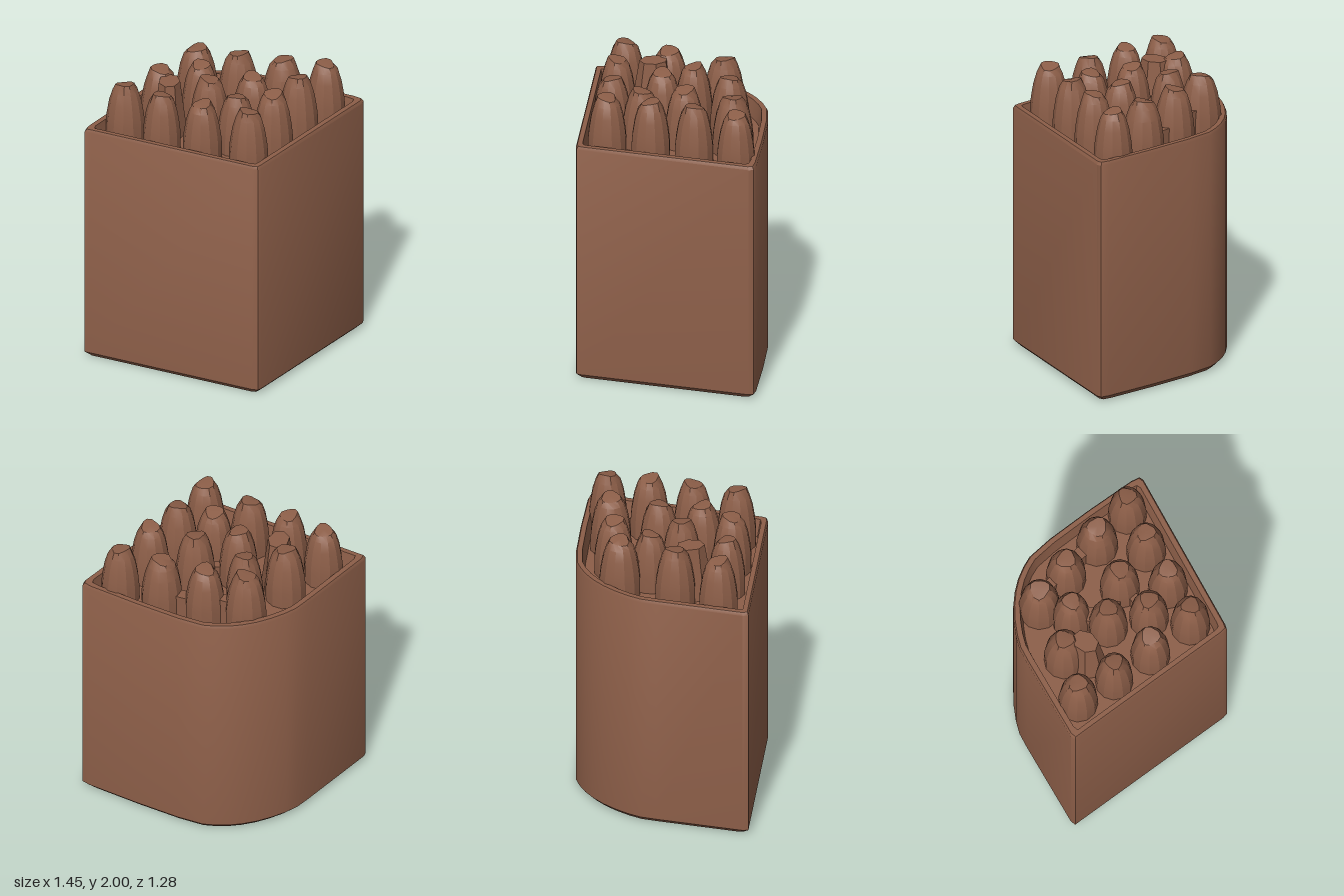
import * as THREE from 'three';
import { toCreasedNormals } from 'three/addons/utils/BufferGeometryUtils.js';

const clay = new THREE.MeshStandardMaterial({ color: 0x8c5e48 });
clay.name = 'clay brown';

// Plan outline of the case (x, z), counter-clockwise from above
const outline = [
  [-0.46, 0.64], [0.69, 0.625], [0.72, 0.61], [0.72, 0.55], [0.665, 0.2], [0.605, -0.115],
  [0.555, -0.29], [0.51, -0.36], [0.45, -0.43], [0.38, -0.49], [0.295, -0.545], [0.2, -0.59],
  [0.1, -0.625], [0.01, -0.645], [-0.1, -0.645], [-0.69, -0.625], [-0.725, -0.61],
  [-0.715, -0.56], [-0.505, 0.6], [-0.49, 0.635],
];

// Case: bottom chamfer, outer wall, rim, inner wall and floor as rings of the outline
function caseGeometry() {
  const rings = [[0, 0.035], [0.035, 0], [1.67, 0], [1.69, 0.01], [1.69, 0.045], [1.57, 0.065]];
  const n = outline.length;
  const point = (r, i) => {
    const [x, z] = outline[i % n];
    const [y, inset] = rings[r];
    return [x * (1 - inset / 0.65), y, z * (1 - inset / 0.62)];
  };
  const v = [];
  const tri = (...corners) => corners.forEach((c) => v.push(...c));
  const last = rings.length - 1;
  for (let i = 0; i < n; i++) {
    tri([0, rings[0][0], 0], point(0, i + 1), point(0, i));
    for (let r = 0; r < last; r++) {
      tri(point(r, i), point(r, i + 1), point(r + 1, i + 1));
      tri(point(r, i), point(r + 1, i + 1), point(r + 1, i));
    }
    tri([0, rings[last][0], 0], point(last, i), point(last, i + 1));
  }
  const g = new THREE.BufferGeometry();
  g.setAttribute('position', new THREE.Float32BufferAttribute(v, 3));
  return toCreasedNormals(g, 0.6);
}

// Tapered peg with a small, slanted, roughly cut tip
function pegGeometry(radius, top, seed) {
  const height = top - 1.57;
  const profile = [[1, 0], [1, 0.29], [0.95, 0.45], [0.83, 0.68], [0.66, 0.86], [0.46, 0.97], [0, 0.98]]
    .map(([r, y]) => new THREE.Vector2(r * radius, y * height));
  const g = new THREE.LatheGeometry(profile, 12);
  const p = g.attributes.position;
  for (let i = 0; i < p.count; i++) {
    const y = p.getY(i);
    if (y < height * 0.95) continue;
    const a = Math.atan2(p.getZ(i), p.getX(i));
    const r = Math.hypot(p.getX(i), p.getZ(i));
    const slant = Math.cos(a - seed * 2.4) * r * 0.22;
    const rough = 1 + 0.13 * Math.sin(a * 3 + seed);
    p.setXYZ(i, p.getX(i) * rough, Math.min(y + slant, height), p.getZ(i) * rough);
  }
  return toCreasedNormals(g, 0.5);
}

// Peg positions: x, z, radius, top height
const pegs = [
  [-0.475, -0.46, 0.13, 1.98], [-0.16, -0.4, 0.135, 1.98], [0.225, -0.385, 0.138, 1.98],
  [-0.45, -0.18, 0.125, 1.98], [0.06, -0.235, 0.125, 1.97], [0.34, -0.13, 0.133, 1.97],
  [-0.1, -0.045, 0.13, 1.99], [-0.4, 0.115, 0.13, 1.98], [-0.165, 0.225, 0.13, 1.97],
  [0.11, 0.15, 0.132, 1.98], [0.445, 0.155, 0.137, 1.97], [-0.335, 0.445, 0.13, 2.0],
  [-0.04, 0.43, 0.13, 2.0], [0.255, 0.42, 0.13, 2.0], [0.545, 0.43, 0.127, 1.98],
];

// Small webs of material joining neighbouring pegs: x, z, width, depth, turn, top
const webs = [
  [0.3, -0.26, 0.07, 0.16, 0.3, 1.76], [0.41, 0.01, 0.08, 0.14, 0.3, 1.72],
  [-0.01, -0.14, 0.1, 0.16, -0.7, 1.76], [0.0, 0.06, 0.06, 0.18, 0.8, 1.7],
  [-0.03, 0.19, 0.12, 0.06, 0.2, 1.7], [0.13, -0.3, 0.14, 0.08, 0.6, 1.8],
  [-0.06, 0.31, 0.08, 0.12, 0.6, 1.66],
];

export function createModel() {
  const model = new THREE.Group();
  model.name = 'caseOfPegs';
  const add = (name, geometry, x = 0, y = 0, z = 0) => {
    const mesh = new THREE.Mesh(geometry, clay);
    mesh.name = name;
    mesh.position.set(x, y, z);
    model.add(mesh);
    return mesh;
  };

  add('case', caseGeometry());
  pegs.forEach(([x, z, r, top], i) => add('peg', pegGeometry(r, top, i + 1), x, 1.57, z));
  webs.forEach(([x, z, w, d, turn, top]) => {
    add('web', new THREE.BoxGeometry(w, top - 1.57, d), x, (top + 1.57) / 2, z).rotation.y = turn;
  });

  // Broad broken lump between the back-left pegs
  const lump = new THREE.CylinderGeometry(0.09, 0.15, 0.38, 7).toNonIndexed();
  lump.computeVertexNormals();
  const lumpMesh = add('brokenPeg', lump, -0.23, 1.755, -0.28);
  lumpMesh.scale.set(1.05, 1, 0.8);
  lumpMesh.rotation.y = 0.5;

  return model;
}
